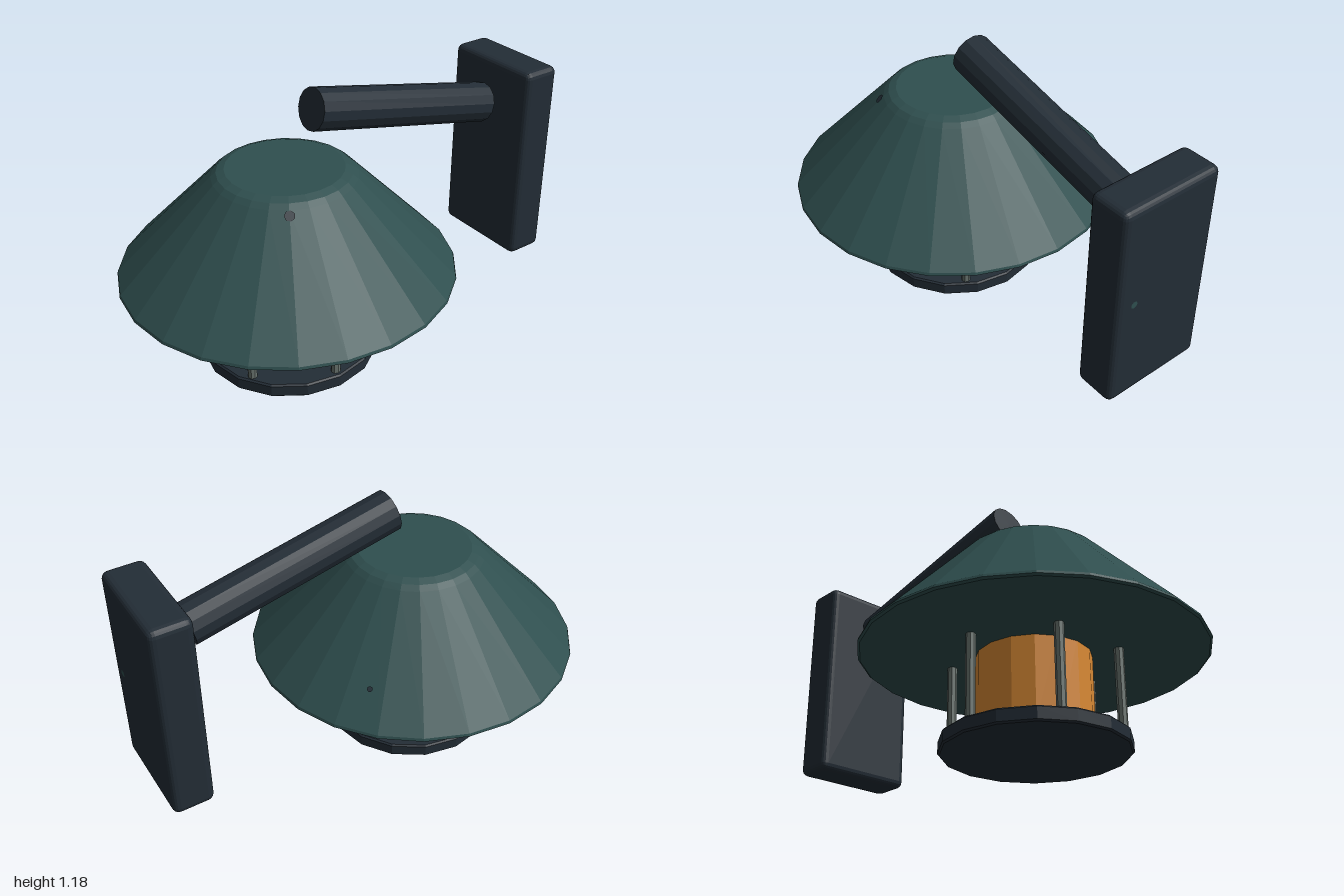
import * as THREE from 'three';
import { RoundedBoxGeometry } from 'three/addons/geometries/RoundedBoxGeometry.js';

const mat = (name, color) => {
  const m = new THREE.MeshStandardMaterial({ color, flatShading: true });
  m.name = name;
  return m;
};

export function createModel() {
  const green = mat('shade green', 0x2f4f4f);
  const dark = mat('dark iron', 0x232d36);
  const amber = mat('amber glass', 0xd98a35);
  const steel = mat('grey steel', 0x69746f);

  const model = new THREE.Group();
  model.name = 'wallLantern';
  const lantern = new THREE.Group();
  lantern.name = 'lantern';
  lantern.position.z = 0.283;
  model.add(lantern);

  const add = (parent, name, geometry, material, x = 0, y = 0, z = 0) => {
    const mesh = new THREE.Mesh(geometry, material);
    mesh.name = name;
    mesh.position.set(x, y, z);
    parent.add(mesh);
    return mesh;
  };
  const lathe = (points, sides) =>
    new THREE.LatheGeometry(points.map(([r, y]) => new THREE.Vector2(r, y)), sides);

  // Conical shade, closed underneath, with softened rim and shoulder
  add(lantern, 'shade', lathe([
    [0, 0.405], [0.703, 0.405], [0.712, 0.412], [0.708, 0.424],
    [0.3, 0.846], [0.278, 0.865], [0.245, 0.878], [0, 0.878],
  ], 24), green);

  // Base disc with small bevels
  add(lantern, 'base', lathe([
    [0, 0], [0.375, 0], [0.382, 0.007], [0.382, 0.054], [0.375, 0.061], [0, 0.061],
  ], 16), dark);

  // Glass and the ring of six posts around it
  add(lantern, 'glass', new THREE.CylinderGeometry(0.237, 0.237, 0.37, 16), amber, 0, 0.235);
  const post = new THREE.CylinderGeometry(0.02, 0.02, 0.37, 8);
  for (let i = 0; i < 6; i++) {
    const a = i * Math.PI / 3;
    add(lantern, 'post', post, steel, 0.345 * Math.cos(a), 0.235, 0.345 * Math.sin(a));
  }

  // Sloping arm
  const front = new THREE.Vector3(0, 1.092, 0.15);
  const back = new THREE.Vector3(0, 0.88, -0.772);
  const dir = front.clone().sub(back);
  const arm = add(model, 'arm', new THREE.CylinderGeometry(0.09, 0.09, dir.length(), 14), dark);
  arm.position.addVectors(front, back).multiplyScalar(0.5);
  arm.quaternion.setFromUnitVectors(new THREE.Vector3(0, 1, 0), dir.normalize());

  // Wall plate
  add(model, 'wallPlate', new RoundedBoxGeometry(0.47, 0.92, 0.18, 2, 0.03), dark, 0, 0.615, -0.91);

  // Small paint chips lying on the shade slope and on the back of the plate
  const slope = Math.atan2(0.408, 0.422);
  const shadeChip = (angle, r, size) => {
    const y = 0.846 - (r - 0.3) * 0.422 / 0.408;
    const n = new THREE.Vector3(
      Math.cos(slope) * Math.sin(angle), Math.sin(slope), Math.cos(slope) * Math.cos(angle));
    const chip = add(lantern, 'shadeChip', new THREE.CircleGeometry(size, 7), dark,
      r * Math.sin(angle), y, r * Math.cos(angle));
    chip.position.addScaledVector(n, 0.004);
    chip.quaternion.setFromUnitVectors(new THREE.Vector3(0, 0, 1), n);
  };
  shadeChip(Math.PI / 3, 0.315, 0.022);
  shadeChip(Math.atan2(-0.37, -0.455), 0.586, 0.012);
  add(model, 'plateChip', new THREE.CircleGeometry(0.016, 7), green, 0.15, 0.63, -1.001)
    .rotation.y = Math.PI;

  return model;
}
